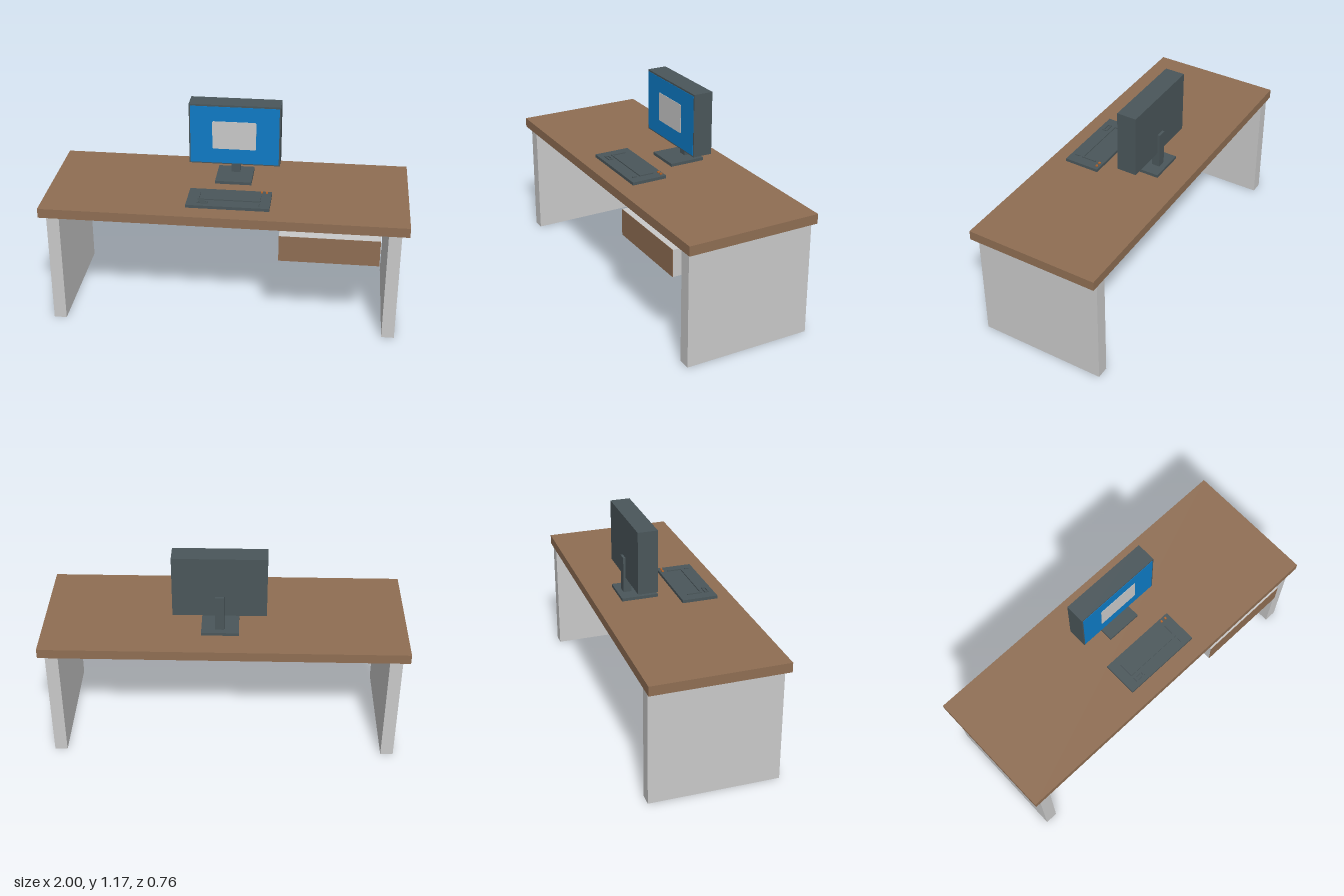
import * as THREE from 'three';

export function createModel() {
  const model = new THREE.Group();
  model.name = 'desk';

  const material = (name, color) => {
    const m = new THREE.MeshStandardMaterial({ color });
    m.name = name;
    return m;
  };
  const wood = material('wood', 0x8f6e53);
  const paleGrey = material('paleGrey', 0xc9c9c9);
  const slate = material('slate', 0x4a565a);
  const blue = material('screenBlue', 0x0d7bc6);
  const orange = material('lampOrange', 0xb5652b);

  // Box given by its [min, max] extent on each axis
  const box = (parent, name, mat, [x0, x1], [y0, y1], [z0, z1]) => {
    const mesh = new THREE.Mesh(new THREE.BoxGeometry(x1 - x0, y1 - y0, z1 - z0), mat);
    mesh.position.set((x0 + x1) / 2, (y0 + y1) / 2, (z0 + z1) / 2);
    mesh.name = name;
    parent.add(mesh);
    return mesh;
  };
  const group = (name) => {
    const g = new THREE.Group();
    g.name = name;
    model.add(g);
    return g;
  };

  // Table top and the two slab legs
  box(model, 'tableTop', wood, [-1, 1], [0.65, 0.704], [-0.377, 0.373]);
  box(model, 'leftLeg', paleGrey, [0.89, 0.96], [0, 0.65], [-0.37, 0.352]);
  box(model, 'rightLeg', paleGrey, [-0.96, -0.89], [0, 0.65], [-0.37, 0.352]);

  // Hanging drawer with a wooden face
  const drawer = group('drawer');
  box(drawer, 'drawerBody', paleGrey, [0.31, 0.85], [0.47, 0.62], [0.06, 0.377]);
  box(drawer, 'drawerFace', wood, [0.31, 0.85], [0.47, 0.62], [0.377, 0.379]);

  // Monitor: stand, housing, lit screen and a window on it
  const monitor = group('monitor');
  box(monitor, 'standBase', slate, [-0.08, 0.125], [0.71, 0.727], [-0.23, -0.025]);
  box(monitor, 'standNeck', slate, [0, 0.05], [0.727, 0.932], [-0.198, -0.152]);
  box(monitor, 'housing', slate, [-0.23, 0.28], [0.812, 1.167], [-0.185, -0.074]);
  box(monitor, 'screen', blue, [-0.223, 0.273], [0.819, 1.157], [-0.074, -0.072]);

  const w = 0.245, h = 0.165, r = 0.008;
  const outline = new THREE.Shape();
  outline.absarc(w / 2 - r, h / 2 - r, r, 0, Math.PI / 2);
  outline.absarc(-w / 2 + r, h / 2 - r, r, Math.PI / 2, Math.PI);
  outline.absarc(-w / 2 + r, -h / 2 + r, r, Math.PI, Math.PI * 1.5);
  outline.absarc(w / 2 - r, -h / 2 + r, r, Math.PI * 1.5, Math.PI * 2);
  const pane = new THREE.Mesh(
    new THREE.ExtrudeGeometry(outline, { depth: 0.002, bevelEnabled: false, curveSegments: 4 }), paleGrey);
  pane.position.set(0.023, 0.988, -0.072);
  pane.name = 'screenWindow';
  monitor.add(pane);

  // Keyboard with raised ridges, a small key frame and two lamps
  const keyboard = group('keyboard');
  const ridgeY = [0.727, 0.733];
  box(keyboard, 'keyboardBase', slate, [-0.205, 0.25], [0.71, 0.727], [0.078, 0.28]);
  for (const [x, z] of [
    [[-0.147, -0.139], [0.125, 0.202]],
    [[0.187, 0.195], [0.125, 0.202]],
    [[-0.147, 0.195], [0.202, 0.21]],
    [[0.187, 0.195], [0.227, 0.253]],
    [[-0.147, -0.139], [0.227, 0.253]],
    [[-0.095, -0.087], [0.227, 0.253]],
    [[-0.139, -0.095], [0.227, 0.233]],
    [[-0.139, -0.095], [0.247, 0.253]],
  ]) box(keyboard, 'keyRidge', slate, x, ridgeY, z);
  for (const x of [0.19, 0.218]) {
    box(keyboard, 'lamp', orange, [x, x + 0.01], [0.727, 0.735], [0.09, 0.102]);
  }

  return model;
}
